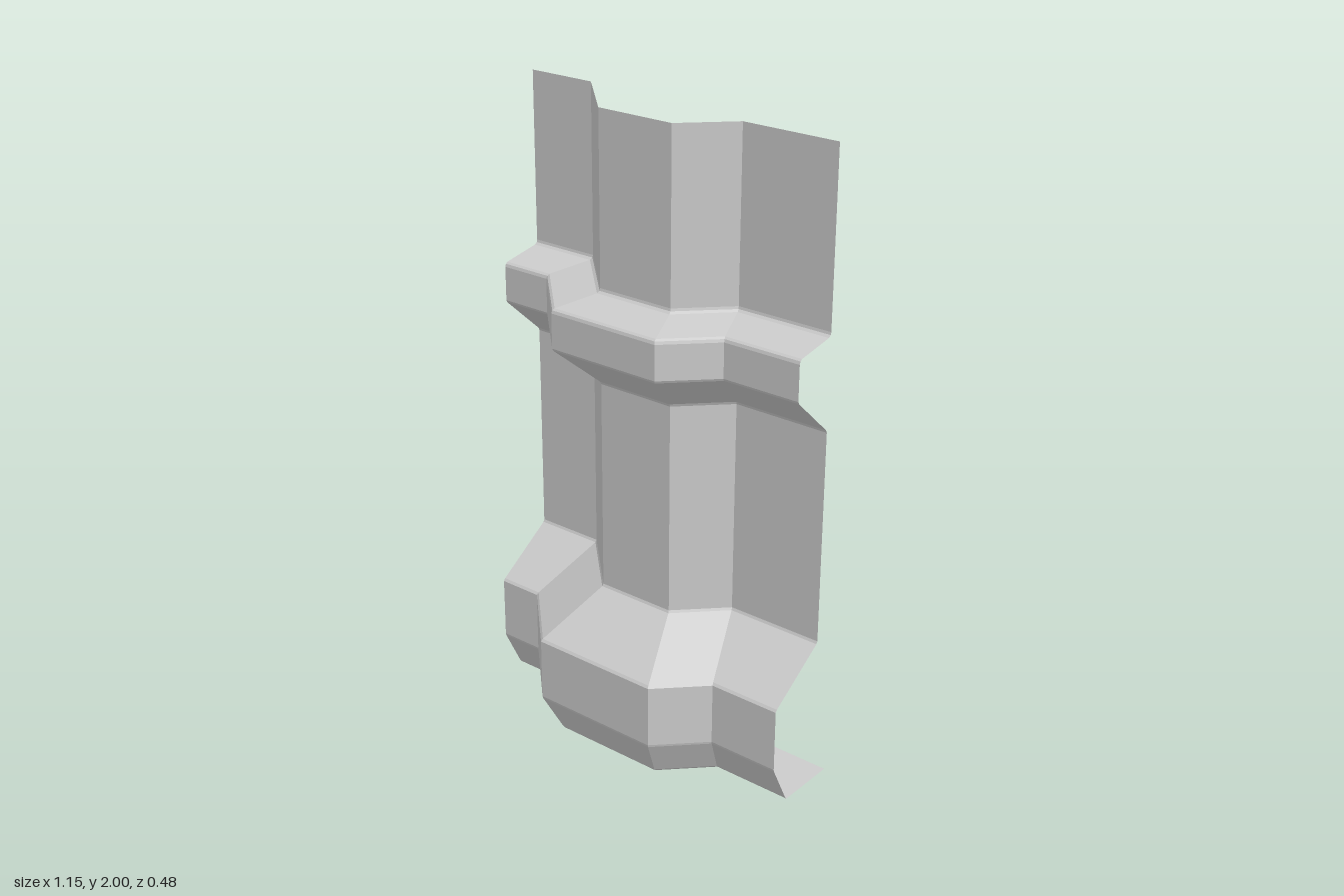
import * as THREE from 'three';

// Plan line of the wall [x, z], running from the model's right to its left
const plan = [[-0.575, -0.17], [-0.345, -0.17], [-0.138, 0.037], [0.123, 0.037], [0.26, -0.1], [0.575, -0.1]];

// Upright profile of each part [offset towards the front, y], from top to bottom
const bands = {
  upperWall: [[0, 2], [0, 1.467]],
  ledgeTop: [[0, 1.467], [0.002, 1.459], [0.01, 1.453], [0.136, 1.431], [0.143, 1.426], [0.146, 1.417]],
  ledgeFace: [[0.146, 1.417], [0.146, 1.308], [0.142, 1.3]],
  ledgeUnderside: [[0.142, 1.3], [0.004, 1.174], [0, 1.165]],
  middleWall: [[0, 1.165], [0, 0.489], [0.004, 0.481]],
  baseShoulder: [[0.004, 0.481], [0.196, 0.349], [0.202, 0.341]],
  baseFace: [[0.202, 0.341], [0.202, 0.142], [0.2, 0.134]],
  baseTaper: [[0.2, 0.134], [0.137, 0.008], [0.13, 0]],
  bottomFlange: [[0.13, 0], [-0.07, 0]],
};

// Mitred front direction at each plan point
function mitres() {
  const normals = plan.slice(1).map(([x, z], i) =>
    new THREE.Vector2(plan[i][1] - z, x - plan[i][0]).normalize());
  return plan.map((_, i) => {
    const a = normals[Math.max(i - 1, 0)];
    const b = normals[Math.min(i, normals.length - 1)];
    return a.clone().add(b).divideScalar(1 + a.dot(b));
  });
}

// Sweep one profile along the plan line
function sweep(profile, dirs) {
  const pos = [], index = [], n = plan.length;
  for (const [d, y] of profile) {
    plan.forEach(([x, z], i) => pos.push(x + dirs[i].x * d, y, z + dirs[i].y * d));
  }
  for (let j = 0; j < profile.length - 1; j++) {
    for (let i = 0; i < n - 1; i++) {
      const a = j * n + i, b = a + n;
      index.push(a, b, b + 1, a, b + 1, a + 1);
    }
  }
  const geo = new THREE.BufferGeometry();
  geo.setAttribute('position', new THREE.Float32BufferAttribute(pos, 3));
  geo.setIndex(index);
  const flat = geo.toNonIndexed();
  flat.computeVertexNormals();
  return flat;
}

export function createModel() {
  const group = new THREE.Group();
  group.name = 'wallPanel';
  const material = new THREE.MeshStandardMaterial({ color: 0xcccccc, flatShading: true, side: THREE.DoubleSide });
  const dirs = mitres();
  for (const [name, profile] of Object.entries(bands)) {
    const mesh = new THREE.Mesh(sweep(profile, dirs), material);
    mesh.name = name;
    group.add(mesh);
  }
  return group;
}
